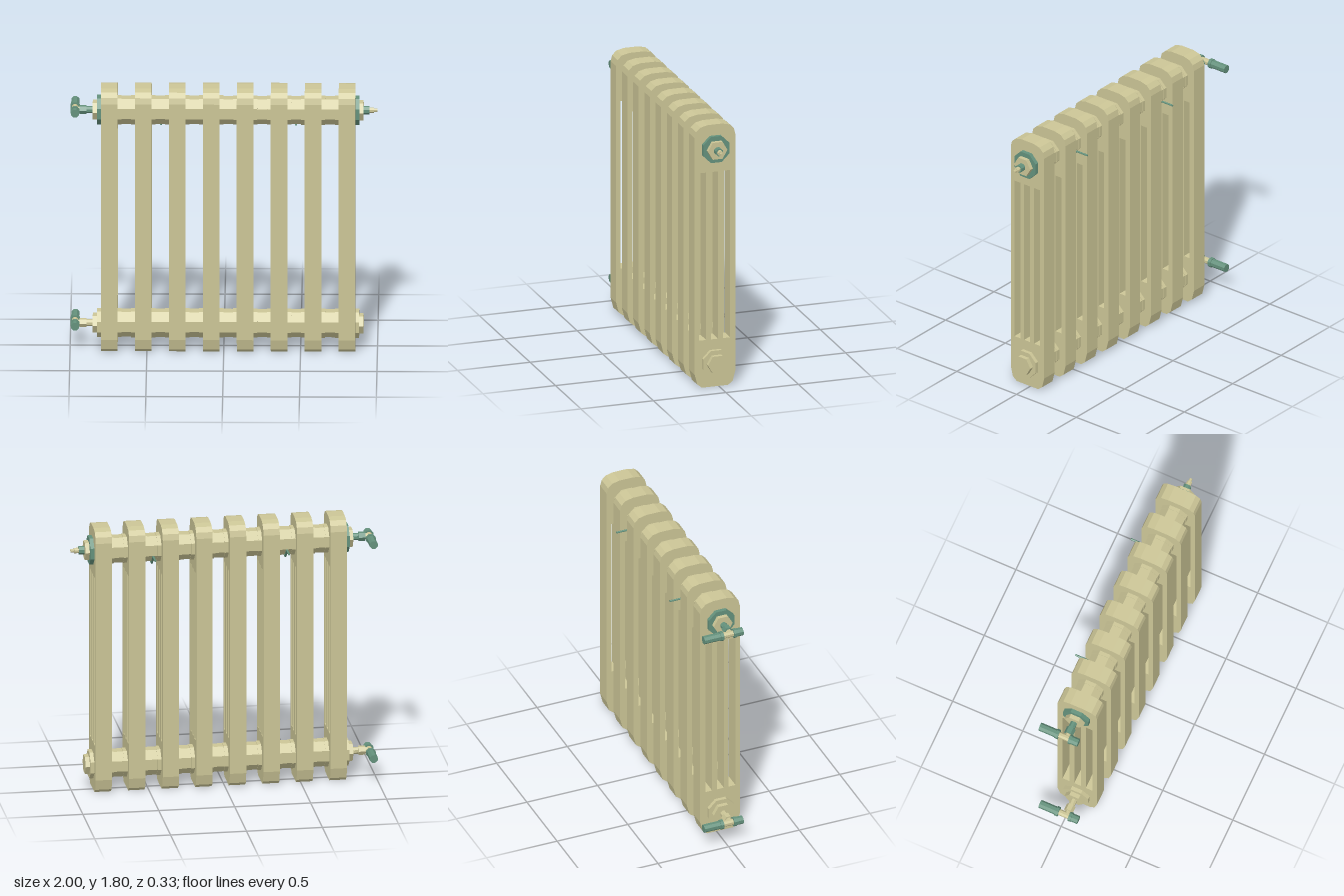
import * as THREE from 'three';

export function createModel() {
  const root = new THREE.Group();
  root.name = 'radiator';
  const enamel = new THREE.MeshStandardMaterial({ color: 0xcbc596, flatShading: true });
  enamel.name = 'cream enamel';
  const fitting = new THREE.MeshStandardMaterial({ color: 0x64917c, flatShading: true });
  fitting.name = 'green fitting';

  const MID = 0.025, TOP = 1.635, LOW = 0.165; // depth centre and pipe heights
  const COUNT = 8, FIRST = -0.745, STEP = 0.221, WIDTH = 0.108;
  const LAST = FIRST + STEP * (COUNT - 1);

  const add = (parent, name, geometry, material) => {
    const mesh = new THREE.Mesh(geometry, material);
    mesh.name = name;
    parent.add(mesh);
    return mesh;
  };
  // faceted rod along x from x0 to x1
  const rodX = (parent, name, x0, x1, y, z, r0, r1, sides, material) => {
    const g = new THREE.CylinderGeometry(r0, r1, Math.abs(x1 - x0), sides, 1, false, sides === 8 ? Math.PI / 8 : 0);
    g.rotateZ(Math.PI / 2);
    return add(parent, name, g, material).position.set((x0 + x1) / 2, y, z);
  };
  // faceted rod along z from z0 to z1
  const rodZ = (parent, name, z0, z1, x, y, r, sides, material) => {
    const g = new THREE.CylinderGeometry(r, r, z1 - z0, sides, 1, false, Math.PI / 8);
    g.rotateX(Math.PI / 2);
    return add(parent, name, g, material).position.set(x, y, (z0 + z1) / 2);
  };

  // column section: rounded side outline with three long slots
  const half = [[0.09, 0], [0.122, 0.025], [0.14, 0.095], [0.14, 1.72], [0.13, 1.76], [0.1, 1.788], [0.05, 1.8]];
  const outline = [...half, ...half.map(([z, y]) => [-z, y]).reverse()];
  const shape = new THREE.Shape(outline.map(([z, y]) => new THREE.Vector2(z + MID, y)));
  for (const z of [0.11, 0.028, -0.055]) {
    const a = z - 0.0245, b = z + 0.0245;
    shape.holes.push(new THREE.Path([[a, 0.325], [a, 1.475], [b, 1.475], [b, 0.325]]
      .map(([u, v]) => new THREE.Vector2(u, v))));
  }
  const sectionGeometry = new THREE.ExtrudeGeometry(shape, { depth: WIDTH, bevelEnabled: false });
  sectionGeometry.translate(0, 0, -WIDTH / 2);
  sectionGeometry.rotateY(-Math.PI / 2);

  for (let i = 0; i < COUNT; i++) {
    const x = FIRST + STEP * i;
    add(root, 'section', sectionGeometry, enamel).position.x = x;
    // connecting hubs; the upper outer ends are covered by bushings
    for (const y of [TOP, LOW]) {
      const left = y === TOP && i === 0 ? 0.05 : 0.079;
      const right = y === TOP && i === COUNT - 1 ? 0.05 : 0.079;
      rodX(root, 'hub', x - left, x + right, y, MID, 0.0955, 0.0955, 8, enamel);
    }
  }

  for (const y of [TOP, LOW]) {
    const upper = y === TOP;
    rodX(root, 'headerPipe', FIRST, LAST, y, MID, 0.092, 0.092, 8, enamel);
    for (const [x, s] of [[FIRST, -1], [LAST, 1]]) {
      if (upper) rodX(root, 'endBushing', x + s * 0.05, x + s * 0.08, y, MID, 0.097, 0.097, 8, fitting);
      rodX(root, 'hexPlug', x + s * 0.07, x + s * 0.108, y, MID, 0.067, 0.067, 6, enamel);
    }

    // connecting valve on the -x end, with its body running front to back
    const valve = new THREE.Group();
    valve.name = upper ? 'upperValve' : 'lowerValve';
    root.add(valve);
    const tail = upper ? fitting : enamel;
    rodX(valve, 'valveTail', -0.9, -0.85, y, MID, 0.023, 0.023, 8, tail);
    rodX(valve, 'unionNut', -0.94, -0.895, y, MID, 0.031, 0.031, 6, tail);
    rodX(valve, 'valveNeck', -0.967, -0.935, y, MID, 0.02, 0.02, 8, enamel);
    rodZ(valve, 'supplyPipe', -0.165, -0.045, -0.968, y, 0.028, 8, fitting);
    rodZ(valve, 'pipeCollar', -0.05, -0.028, -0.968, y, 0.033, 8, fitting);
    rodZ(valve, 'valveBody', -0.03, 0.05, -0.968, y, 0.021, 8, enamel);
    rodZ(valve, 'capCollar', 0.043, 0.064, -0.968, y, 0.032, 8, fitting);
    rodZ(valve, 'valveCap', 0.06, 0.11, -0.968, y, 0.028, 8, fitting);
  }

  // bleed valve on the +x end
  const bleed = new THREE.Group();
  bleed.name = 'bleedValve';
  root.add(bleed);
  rodX(bleed, 'bleedBase', 0.9, 0.947, TOP, MID, 0.027, 0.027, 8, fitting);
  rodX(bleed, 'bleedStem', 0.94, 0.977, TOP, MID, 0.018, 0.018, 8, enamel);
  rodX(bleed, 'bleedTip', 0.97, 1.0, TOP, MID, 0.011, 0.011, 8, enamel);

  // wall hooks cradling the upper pipe from behind
  const hookPoints = [[1.6, -0.165], [1.6, -0.074], [1.537, -0.012], [1.537, 0.062]];
  for (const x of [-0.41, 0.47]) {
    const path = new THREE.CurvePath();
    for (let i = 0; i < hookPoints.length - 1; i++) {
      const [a, b] = [hookPoints[i], hookPoints[i + 1]].map(([y, z]) => new THREE.Vector3(x, y, z));
      path.add(new THREE.LineCurve3(a, b));
    }
    const hook = add(root, 'wallHook', new THREE.TubeGeometry(path, 24, 0.007, 6, false), fitting);
    // closed rear end of the rod
    const end = add(hook, 'hookEnd', new THREE.CircleGeometry(0.007, 6), fitting);
    end.position.set(x, 1.6, -0.165);
    end.rotation.y = Math.PI;
  }
  return root;
}
